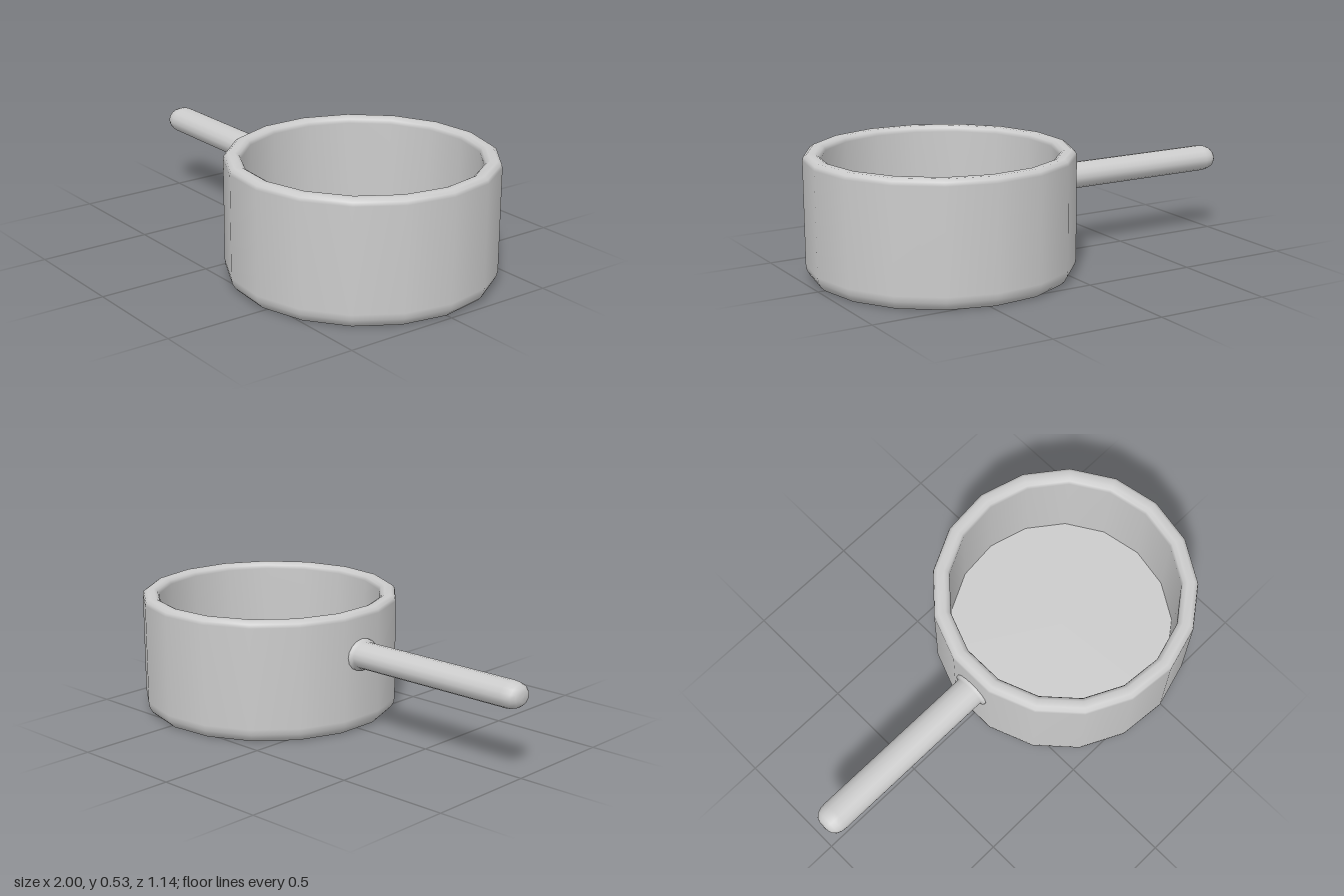
import * as THREE from 'three';

const SIDES = 17;        // faceted wall of the pan
const PAN_X = 0.427;     // pan axis
const material = new THREE.MeshStandardMaterial({ color: 0xcccccc });

const profile = (points) => points.map(([r, y]) => new THREE.Vector2(r, y));

function addMesh(parent, name, geometry) {
  const mesh = new THREE.Mesh(geometry, material);
  mesh.name = name;
  parent.add(mesh);
  return mesh;
}

export function createModel() {
  const model = new THREE.Group();
  model.name = 'saucepan';

  const pan = new THREE.Group();
  pan.name = 'pan';
  pan.position.x = PAN_X;
  model.add(pan);

  // Outer wall with rounded foot, over the rounded rim, and down the inner wall
  const wall = profile([
    [0.543, 0], [0.558, 0.015], [0.569, 0.035], [0.573, 0.06],
    [0.573, 0.505], [0.569, 0.521], [0.553, 0.532],
    [0.523, 0.532], [0.507, 0.523], [0.5, 0.507], [0.5, 0.107],
  ]);
  addMesh(pan, 'wall', new THREE.LatheGeometry(wall, SIDES, Math.PI / 2));

  // Flat discs: the cooking floor and the underside
  const floor = addMesh(pan, 'floor', new THREE.CircleGeometry(0.5, SIDES));
  floor.rotation.x = -Math.PI / 2;
  floor.position.y = 0.107;
  const base = addMesh(pan, 'base', new THREE.CircleGeometry(0.543, SIDES));
  base.rotation.x = Math.PI / 2;

  // Oval handle: small flare at the wall, straight shaft, rounded tip
  const shaft = profile([
    [0.088, 0], [0.085, 0.013], [0.071, 0.02], [0.071, 0.8],
    [0.068, 0.825], [0.06, 0.845], [0.045, 0.86], [0.025, 0.867], [0, 0.868],
  ]);
  const handleGeometry = new THREE.LatheGeometry(shaft, 16);
  handleGeometry.scale(0.81, 1, 1);
  handleGeometry.rotateZ(Math.PI / 2);
  const handle = addMesh(model, 'handle', handleGeometry);
  handle.position.set(-0.132, 0.34, 0);

  return model;
}
